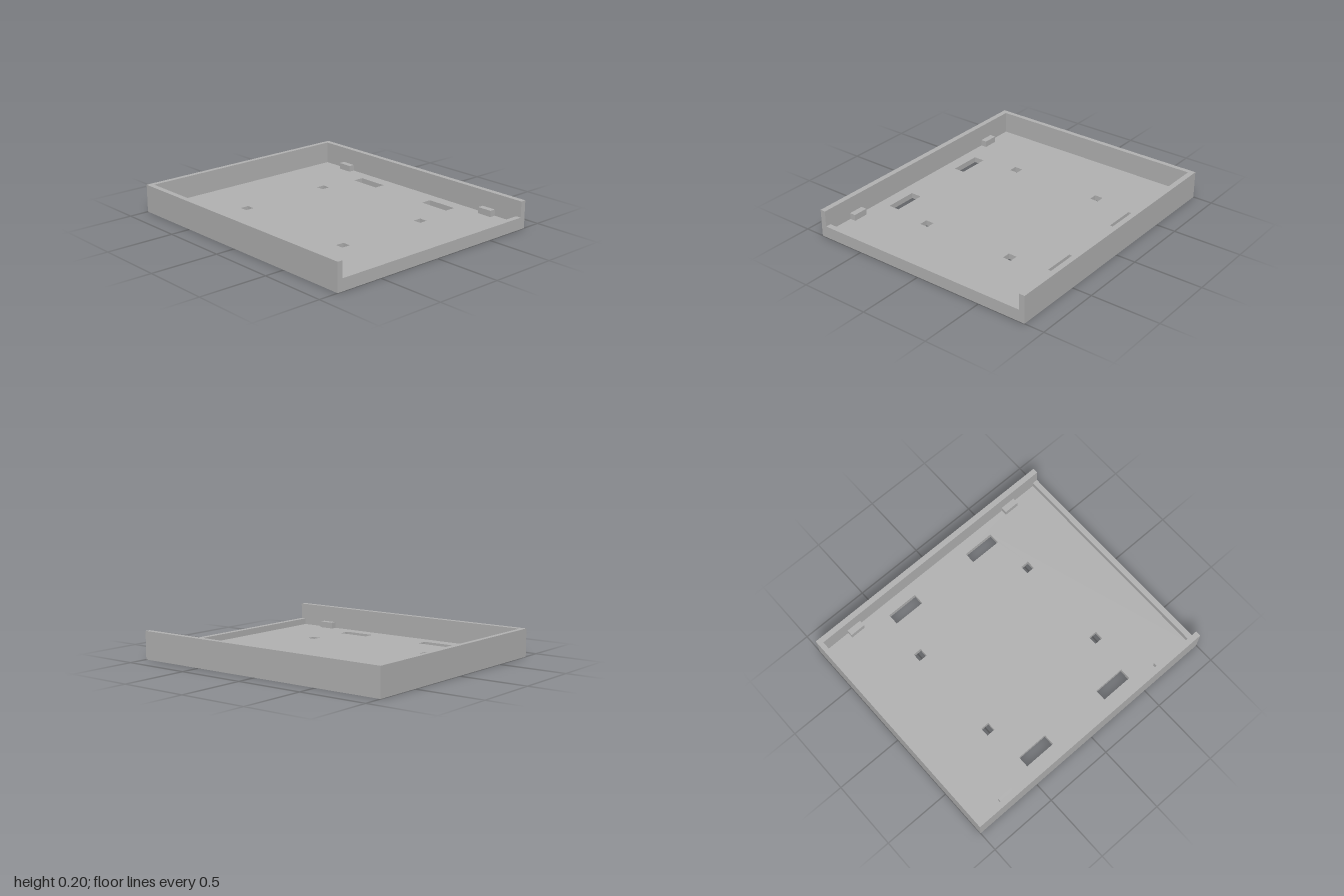
import * as THREE from 'three';

const W = 0.855, L = 1, H = 0.2;              // half width, half length, height
const INNER_X = 0.815, BACK_Z = -0.965, FRONT_Z = 0.96;
const FLOOR = 0.04, LIP = 0.085;

// Rectangle outline in floor coordinates (shape y is -z)
function rect(path, x0, x1, z0, z1) {
  path.moveTo(x0, -z1);
  path.lineTo(x1, -z1);
  path.lineTo(x1, -z0);
  path.lineTo(x0, -z0);
  path.closePath();
  return path;
}

export function createModel() {
  const group = new THREE.Group();
  group.name = 'tray';
  const grey = new THREE.MeshStandardMaterial({ color: 0xb2b2b2 });
  grey.name = 'grey';

  function add(name, geometry) {
    const mesh = new THREE.Mesh(geometry, grey);
    mesh.name = name;
    group.add(mesh);
  }
  function box(name, x0, x1, y0, y1, z0, z1) {
    const g = new THREE.BoxGeometry(x1 - x0, y1 - y0, z1 - z0);
    g.translate((x0 + x1) / 2, (y0 + y1) / 2, (z0 + z1) / 2);
    add(name, g);
  }

  // Floor with four square holes and four long slots
  const floor = rect(new THREE.Shape(), -INNER_X, INNER_X, BACK_Z, FRONT_Z);
  const centred = (x, z, w, l) =>
    floor.holes.push(rect(new THREE.Path(), x - w / 2, x + w / 2, z - l / 2, z + l / 2));
  for (const sx of [-1, 1]) {
    for (const sz of [-1, 1]) {
      centred(sx * 0.357, sz * 0.5, 0.064, 0.062);
      centred(sx * 0.686, sz * 0.355, 0.082, 0.234);
    }
  }
  const floorGeometry = new THREE.ExtrudeGeometry(floor, { depth: FLOOR, bevelEnabled: false });
  floorGeometry.rotateX(-Math.PI / 2);
  add('floor', floorGeometry);

  // Full-height side and back walls, low lip at the open front
  box('leftWall', INNER_X, W, 0, H, -L, L);
  box('rightWall', -W, -INNER_X, 0, H, -L, L);
  box('backWall', -INNER_X, INNER_X, 0, H, -L, BACK_Z);
  box('frontLip', -INNER_X, INNER_X, 0, LIP, FRONT_Z, L);

  // Small support blocks against the side walls
  for (const sx of [-1, 1]) {
    for (const sz of [-1, 1]) {
      const x = sx * 0.7925, z = sz * 0.715;
      box('supportBlock', x - 0.0225, x + 0.0225, FLOOR, LIP, z - 0.056, z + 0.056);
    }
  }
  return group;
}
